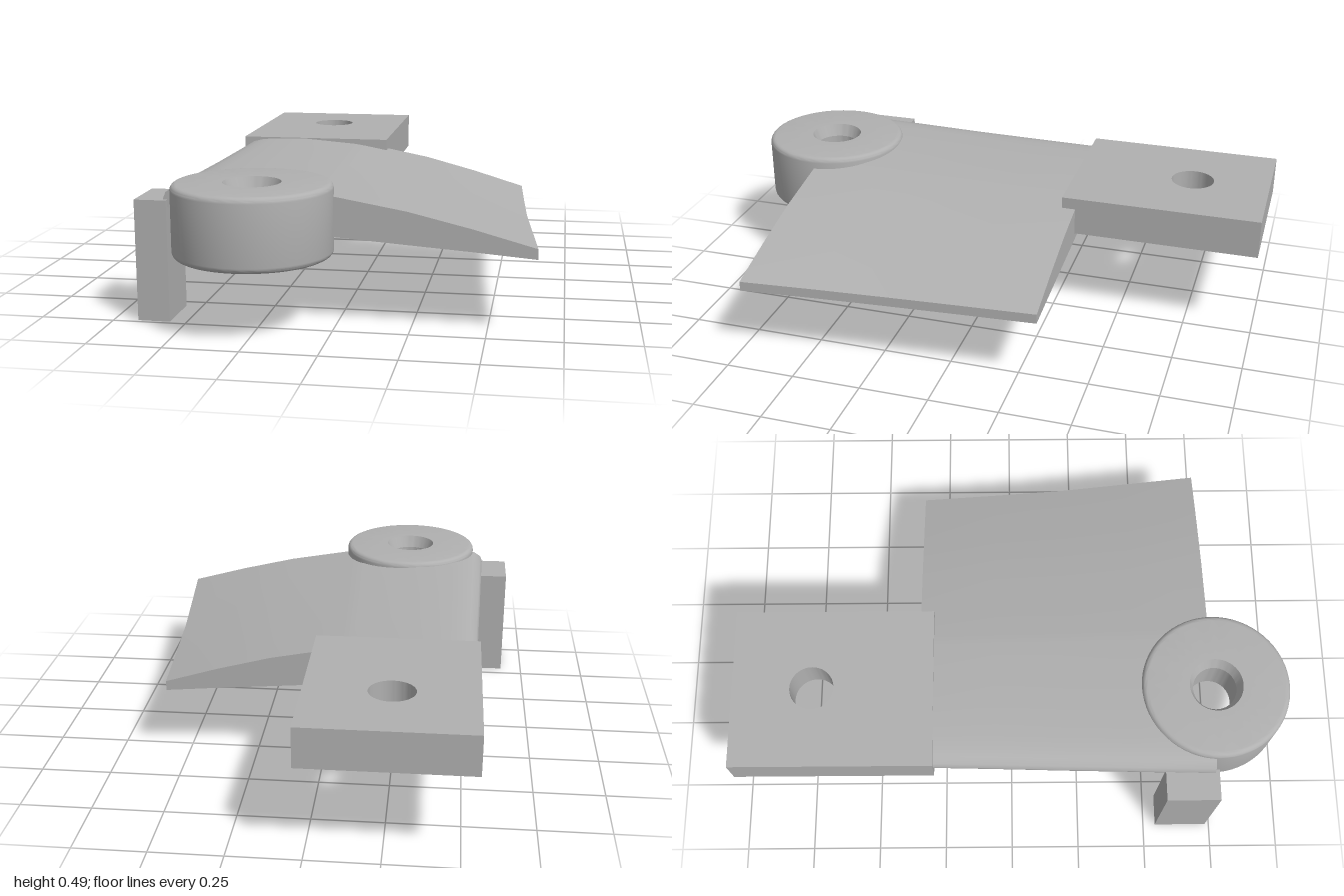
import * as THREE from 'three';
import { toCreasedNormals } from 'three/addons/utils/BufferGeometryUtils.js';

// Surface through rows of points; it faces (row direction) x (column direction)
function grid(rows) {
  const n = rows[0].length, index = [];
  for (let i = 0; i < rows.length - 1; i++) {
    for (let j = 0; j < n - 1; j++) {
      const a = i * n + j, b = a + n;
      index.push(a, b, a + 1, b, b + 1, a + 1);
    }
  }
  const g = new THREE.BufferGeometry();
  g.setAttribute('position', new THREE.Float32BufferAttribute(rows.flat(2), 3));
  g.setIndex(index);
  g.computeVertexNormals();
  return g;
}

export function createModel() {
  const model = new THREE.Group();
  const grey = new THREE.MeshStandardMaterial({ color: 0xb0b0b0 });
  grey.name = 'plain grey';
  const add = (name, geometry, parent = model) => {
    const mesh = new THREE.Mesh(geometry, grey);
    mesh.name = name;
    parent.add(mesh);
    return mesh;
  };

  // Blade section from rounded nose to thin edge: x, top y, bottom y
  const section = [
    [-0.57, 0.42, 0.41], [-0.562, 0.441, 0.395], [-0.537, 0.457, 0.381],
    [-0.5, 0.465, 0.371], [-0.45, 0.47, 0.36], [-0.3, 0.472, 0.338],
    [-0.08, 0.456, 0.318], [-0.03, 0.449, 0.312], [0.24, 0.402, 0.292],
    [0.45, 0.352, 0.277], [0.66, 0.295, 0.26],
  ];
  // Stations along the blade: z, nose x, thin edge x, drop
  const stations = [
    [0.72, -0.57, 0.66, 0], [0.45, -0.562, 0.632, 0.002],
    [0.2, -0.555, 0.607, 0.005], [-0.06, -0.547, 0.588, 0.005], [-0.33, -0.54, 0.57, 0.005],
  ];
  const line = (k, side) => stations.map(([z, nose, edge, drop], j) => {
    const t = (section[k][0] + 0.57) / 1.23;
    // the front end steps back inside the hub to clear its bore
    const clear = j === 0 && k >= 4 && k <= 6;
    return [nose + (edge - nose) * t, section[k][side] - drop, clear ? 0.58 : z];
  });
  const top = section.map((_, k) => line(k, 1));
  const bottom = section.map((_, k) => line(k, 2));
  const last = section.length - 1, end = stations.length - 1;
  const cap = (j) => section.map((_, k) => [bottom[k][j], top[k][j]]);

  const blade = new THREE.Group();
  blade.name = 'blade';
  model.add(blade);
  add('bladeSkin', grid([...bottom.slice().reverse(), ...top]), blade);
  add('bladeThinEdge', grid([top[last], bottom[last]]), blade);
  add('bladeFrontEnd', toCreasedNormals(grid(cap(0)), 0.1), blade);
  add('bladeBackEnd', grid(cap(end).reverse()), blade);

  // Mounting tab with a through hole
  const plate = new THREE.Shape([[-0.55, 0.28], [0.03, 0.28], [0.03, 1], [-0.55, 1]]
    .map(([x, y]) => new THREE.Vector2(x, y)));
  const hole = new THREE.Path();
  hole.absarc(-0.262, 0.715, 0.079, 0, Math.PI * 2, true);
  plate.holes.push(hole);
  const tab = new THREE.ExtrudeGeometry(plate, { depth: 0.14, bevelEnabled: false, curveSegments: 32 });
  tab.rotateX(-Math.PI / 2).translate(0, 0.33, 0);
  add('mountingTab', toCreasedNormals(tab, 0.5));

  // Round hub with filleted rim and a countersunk bore
  const profile = [], r = 0.265, f = 0.02, y0 = 0.245, y1 = 0.487;
  for (const [cy, start] of [[y0 + f, -Math.PI / 2], [y1 - f, 0]]) {
    for (let i = 0; i <= 5; i++) {
      const a = start + i * Math.PI / 10;
      profile.push(new THREE.Vector2(r - f + f * Math.cos(a), cy + f * Math.sin(a)));
    }
  }
  for (const [x, y] of [[0.096, y1], [0.078, y1 - 0.045], [0.078, y0 + 0.045], [0.096, y0], [r - f, y0]]) {
    profile.push(new THREE.Vector2(x, y));
  }
  const hub = add('hub', toCreasedNormals(new THREE.LatheGeometry(profile, 64), 0.35));
  hub.position.set(-0.265, 0, 0.732);

  // Upright post beside the nose
  const post = add('post', new THREE.BoxGeometry(0.11, 0.415, 0.19));
  post.position.set(-0.612, 0.2075, 0.64);

  return model;
}
